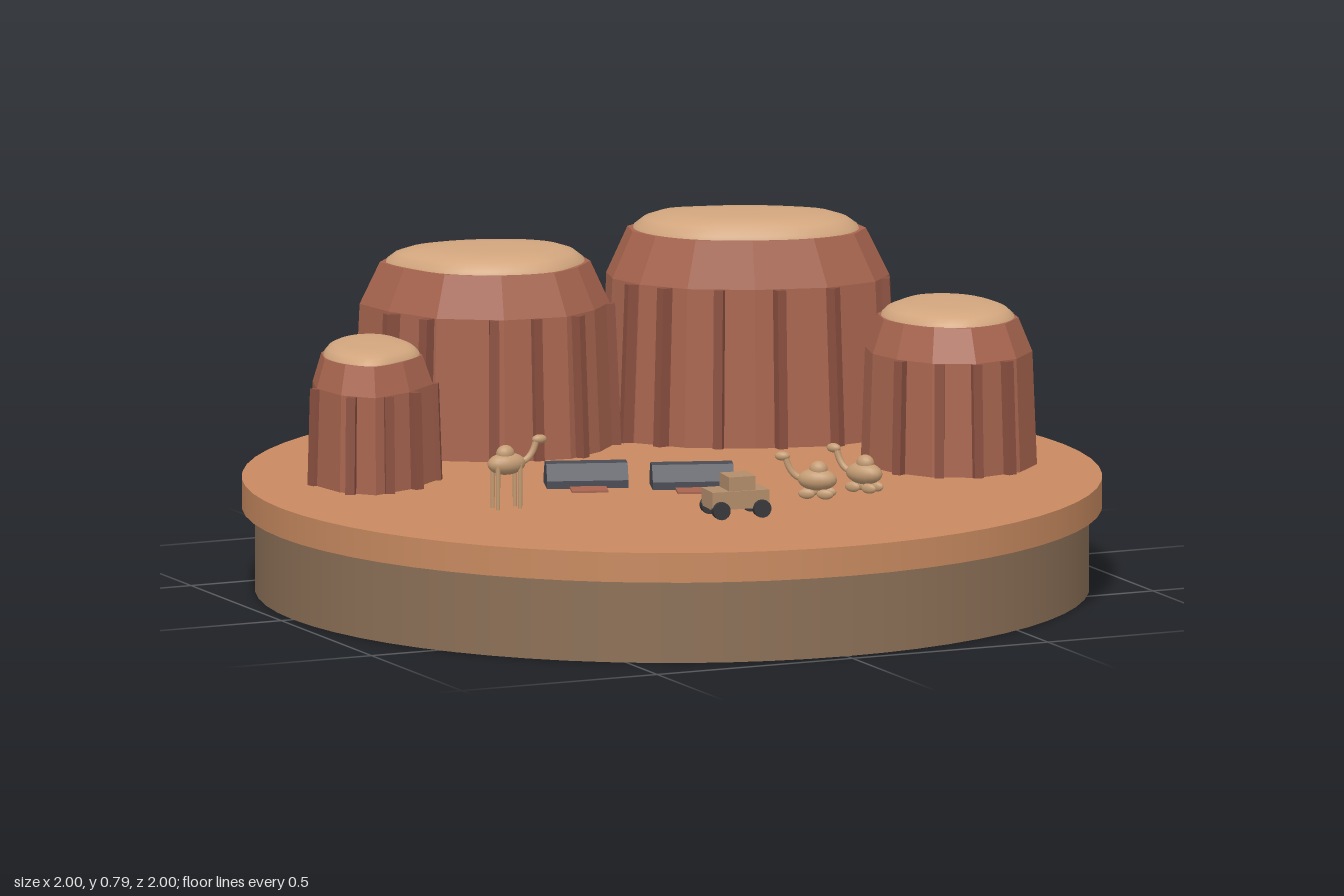
import * as THREE from 'three';

const paint = (name, hex, extra = {}) => {
  const m = new THREE.MeshStandardMaterial({ color: hex, ...extra });
  m.name = name;
  return m;
};

const GROUND = 0.265;

// Closed loft: an outline of [x, z] scaled about its centre through [scale, y] rings, then closed on top.
function loft(outline, centre, rings) {
  const n = outline.length, pos = [], idx = [];
  for (const [s, y] of rings)
    for (const [x, z] of outline) pos.push(centre[0] + (x - centre[0]) * s, y, centre[1] + (z - centre[1]) * s);
  for (let r = 0; r < rings.length - 1; r++)
    for (let i = 0; i < n; i++) {
      const a = r * n + i, b = r * n + (i + 1) % n;
      idx.push(a, a + n, b, b, a + n, b + n);
    }
  const last = (rings.length - 1) * n, top = rings.length * n;
  pos.push(centre[0], rings[rings.length - 1][1], centre[1]);
  for (let i = 0; i < n; i++) idx.push(top, last + (i + 1) % n, last + i);
  const g = new THREE.BufferGeometry();
  g.setAttribute('position', new THREE.Float32BufferAttribute(pos, 3));
  g.setIndex(idx);
  g.computeVertexNormals();
  return g;
}

export function createModel() {
  const rust = paint('rust rock', 0xa8654f, { flatShading: true });
  const ribRust = paint('dark rust rock', 0x8c5141);
  const sand = paint('sand', 0xc88a60);
  const earth = paint('earth', 0x8c7057);
  const capTan = paint('pale cap rock', 0xd2a67e);
  const hide = paint('camel hide', 0xc49c74);
  const bodyTan = paint('vehicle tan', 0xb28d6b);
  const dark = paint('tent charcoal', 0x4a4b54);
  const rubber = paint('tyre black', 0x39393d);

  const model = new THREE.Group();
  model.name = 'desertDiorama';
  const add = (parent, name, geo, mat, x = 0, y = 0, z = 0) => {
    const m = new THREE.Mesh(geo, mat);
    m.name = name;
    m.position.set(x, y, z);
    parent.add(m);
    return m;
  };
  const group = (name, x, y, z, turn) => {
    const g = new THREE.Group();
    g.name = name;
    g.position.set(x, y, z);
    g.rotation.y = turn;
    model.add(g);
    return g;
  };

  // Round base
  add(model, 'basePlinth', new THREE.CylinderGeometry(0.97, 0.97, 0.2, 64), earth, 0, 0.1, 0);
  add(model, 'sandDisc', new THREE.CylinderGeometry(1, 1, 0.07, 64), sand, 0, 0.23, 0);

  // Rock domes: outline at the ground, top height, and [x, z] of the ribs on the front walls
  const domes = [
    { name: 'leftDome', top: 0.585,
      outline: [[-0.6, -0.48], [-0.52, -0.45], [-0.49, -0.33], [-0.52, -0.18], [-0.62, -0.1],
        [-0.73, -0.06], [-0.79, -0.13], [-0.805, -0.24], [-0.77, -0.34], [-0.69, -0.44]],
      ribs: [[-0.8, -0.24], [-0.775, -0.1], [-0.69, -0.075], [-0.61, -0.1], [-0.52, -0.19]] },
    { name: 'backLeftDome', top: 0.735,
      outline: [[-0.34, -0.75], [-0.18, -0.735], [-0.01, -0.66], [0.075, -0.55], [0.06, -0.44], [-0.02, -0.355],
        [-0.12, -0.3], [-0.28, -0.32], [-0.42, -0.41], [-0.485, -0.55], [-0.505, -0.675], [-0.46, -0.725]],
      ribs: [[-0.49, -0.52], [-0.44, -0.42], [-0.3, -0.335], [-0.2, -0.315], [-0.09, -0.31], [0.05, -0.43]] },
    { name: 'backRightDome', top: 0.79,
      outline: [[0.165, -0.66], [0.28, -0.645], [0.46, -0.59], [0.62, -0.49], [0.72, -0.38], [0.715, -0.3],
        [0.64, -0.22], [0.5, -0.195], [0.325, -0.24], [0.18, -0.32], [0.1, -0.425], [0.075, -0.53], [0.1, -0.62]],
      ribs: [[0.09, -0.44], [0.14, -0.36], [0.25, -0.28], [0.38, -0.22], [0.51, -0.195], [0.68, -0.265]] },
    { name: 'rightDome', top: 0.64,
      outline: [[0.66, -0.14], [0.755, -0.12], [0.825, -0.05], [0.86, 0.09], [0.835, 0.215], [0.755, 0.295],
        [0.635, 0.32], [0.54, 0.27], [0.485, 0.18], [0.465, 0.085], [0.49, -0.015], [0.565, -0.09]],
      ribs: [[0.49, 0.2], [0.555, 0.28], [0.635, 0.315], [0.72, 0.305]] },
  ];
  for (const d of domes) {
    const n = d.outline.length, h = d.top - GROUND;
    const c = [0, 1].map(k => d.outline.reduce((s, p) => s + p[k], 0) / n);
    const g = group(d.name, 0, 0, 0, 0);
    const level = t => GROUND + h * t;
    add(g, 'domeWall', loft(d.outline, c, [[1, GROUND - 0.005], [0.95, level(0.71)], [0.8, level(0.92)]]), rust);

    // Smooth pale cap
    const curve = new THREE.CatmullRomCurve3(d.outline.map(([x, z]) => new THREE.Vector3(x, 0, z)), true);
    const smooth = curve.getSpacedPoints(40).slice(0, 40).map(p => [p.x, p.z]);
    const capRings = [[0.77, 0.9], [0.75, 0.935], [0.68, 0.97], [0.57, 0.993], [0.35, 1]];
    add(g, 'domeCap', loft(smooth, c, capRings.map(([s, t]) => [s, level(t)])), capTan);

    // Upright ribs leaning with the wall
    for (const [x, z] of d.ribs) {
      const dx = x - c[0], dz = z - c[1], ribH = h * 0.71;
      const rib = new THREE.BoxGeometry(0.022, ribH, 0.034).translate(0, ribH / 2, 0);
      const m = add(g, 'wallRib', rib, ribRust, x, GROUND, z);
      m.rotation.order = 'YXZ';
      m.rotation.set(-Math.atan(0.05 * Math.hypot(dx, dz) / ribH), Math.atan2(dx, dz), 0);
    }
  }

  // Long dark tents with a rug in front of each
  const section = new THREE.Shape([[-0.045, 0], [0.045, 0], [0.045, 0.018], [0.02, 0.055], [-0.02, 0.055], [-0.045, 0.018]]
    .map(p => new THREE.Vector2(...p)));
  const tentGeo = new THREE.ExtrudeGeometry(section, { depth: 0.19, bevelEnabled: false })
    .translate(0, 0, -0.095).rotateY(Math.PI / 2);
  for (const [x, z] of [[-0.23, 0.022], [-0.013, 0.138]]) {
    const g = group('tent', x, GROUND, z, -0.34);
    add(g, 'tentCover', tentGeo, dark);
    add(g, 'rug', new THREE.BoxGeometry(0.085, 0.005, 0.06), rust, 0, 0.003, 0.075);
  }

  // Off-road vehicle
  const car = group('vehicle', -0.08, GROUND, 0.525, -0.1);
  add(car, 'carBody', new THREE.BoxGeometry(0.14, 0.042, 0.08), bodyTan, 0, 0.043, 0);
  add(car, 'carCabin', new THREE.BoxGeometry(0.065, 0.034, 0.07), bodyTan, 0.005, 0.08, 0);
  for (const sx of [-1, 1]) for (const sz of [-1, 1])
    add(car, 'wheel', new THREE.CylinderGeometry(0.021, 0.021, 0.018, 14).rotateX(Math.PI / 2),
      rubber, sx * 0.05, 0.021, sz * 0.042);

  // Camels, facing local +x
  const ball = (rx, ry, rz) => new THREE.SphereGeometry(1, 16, 12).scale(rx, ry, rz);
  function camel(name, x, z, turn, bodyY, standing) {
    const g = group(name, x, GROUND, z, turn);
    add(g, 'camelBody', ball(0.047, 0.026, 0.028), hide, 0, bodyY, 0);
    add(g, 'hump', ball(0.022, 0.02, 0.018), hide, -0.003, bodyY + 0.024, 0);
    const neck = new THREE.QuadraticBezierCurve3(new THREE.Vector3(0.033, bodyY, 0),
      new THREE.Vector3(0.065, bodyY + 0.005, 0), new THREE.Vector3(0.075, bodyY + 0.05, 0));
    add(g, 'neck', new THREE.TubeGeometry(neck, 8, 0.008, 8), hide);
    add(g, 'camelHead', ball(0.018, 0.011, 0.011), hide, 0.083, bodyY + 0.052, 0);
    for (const sx of [-1, 1]) for (const sz of [-1, 1]) {
      if (standing) add(g, 'leg', new THREE.CylinderGeometry(0.006, 0.005, bodyY, 8), hide, sx * 0.028, bodyY / 2, sz * 0.016);
      else add(g, 'foldedLeg', ball(0.02, 0.012, 0.008), hide, sx * 0.022, 0.012, sz * 0.016);
    }
  }
  camel('standingCamel', -0.523, 0.215, -0.03, 0.105, true);
  camel('restingCamelLeft', 0.187, 0.4, 2.5, 0.044, false);
  camel('restingCamelRight', 0.32, 0.372, 2.16, 0.044, false);

  return model;
}
